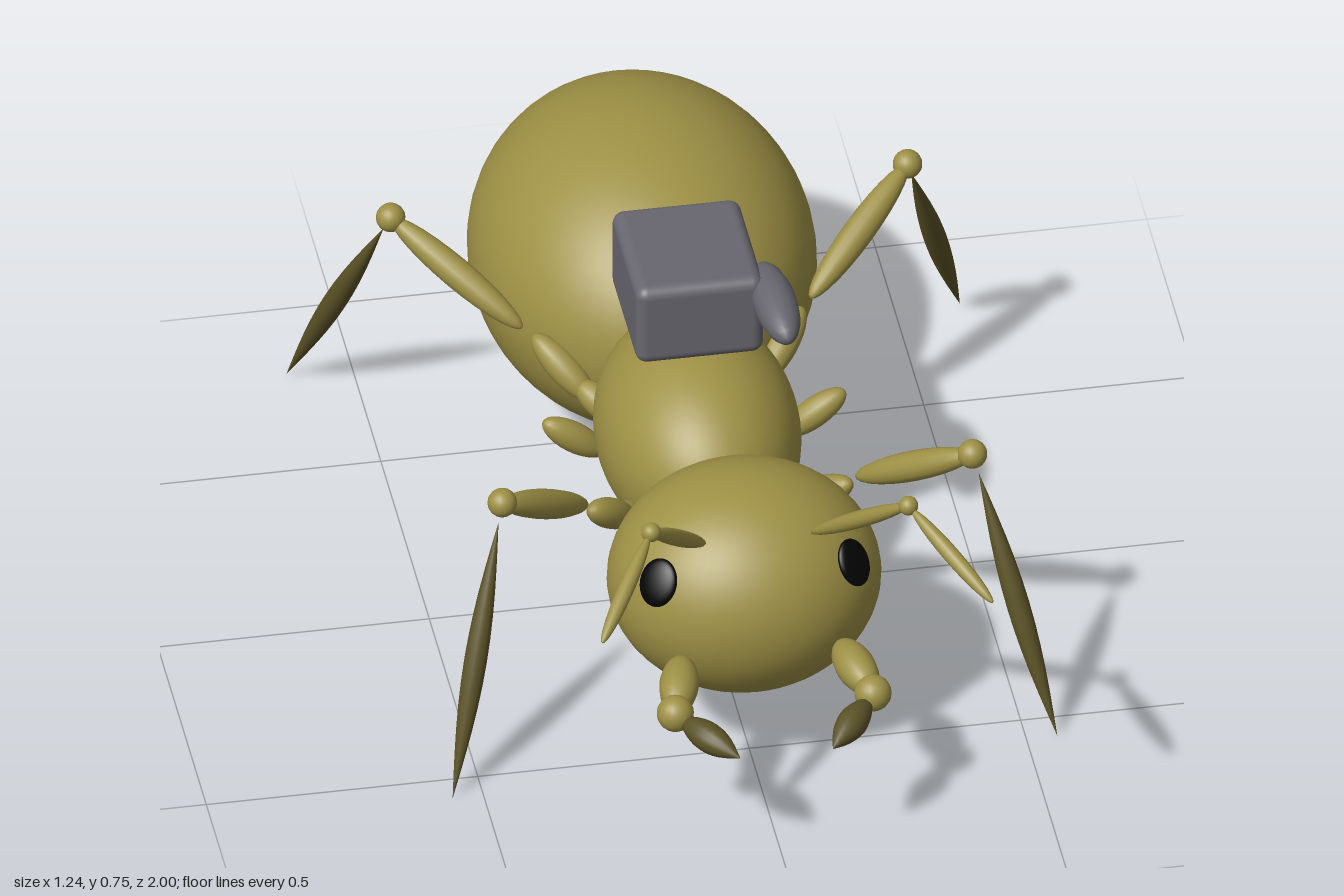
import * as THREE from 'three';
import { RoundedBoxGeometry } from 'three/addons/geometries/RoundedBoxGeometry.js';

export function createModel() {
  const model = new THREE.Group();
  model.name = 'ant';

  const mat = (name, color) => {
    const m = new THREE.MeshStandardMaterial({ color });
    m.name = name;
    return m;
  };
  const shell = mat('olive shell', 0x9d9045);
  const dark = mat('dark olive tips', 0x5a5226);
  const metal = mat('grey metal', 0x68676f);
  const black = mat('black eye', 0x040404);

  const bodyBall = new THREE.SphereGeometry(1, 48, 32);
  const limbBall = new THREE.SphereGeometry(1, 16, 14);

  // Sharp-ended profile for shins and mandible tips
  const pointed = [];
  for (let i = 0; i <= 12; i++) {
    const y = -1 + i / 6;
    pointed.push(new THREE.Vector2(Math.max(0, Math.cos(y * Math.PI / 2)), y));
  }
  const thorn = new THREE.LatheGeometry(pointed, 16);

  const add = (parent, name, geometry, material, pos) => {
    const mesh = new THREE.Mesh(geometry, material);
    mesh.name = name;
    mesh.position.set(...pos);
    parent.add(mesh);
    return mesh;
  };
  const ellipsoid = (parent, name, pos, radii, material = shell, geo = bodyBall) => {
    const mesh = add(parent, name, geo, material, pos);
    mesh.scale.set(...radii);
    return mesh;
  };
  const joint = (parent, name, pos, r) => ellipsoid(parent, name, pos, [r, r, r], shell, limbBall);

  // Long rounded shape stretched from point a to point b
  const spindle = (parent, name, a, b, r, material = shell, geo = limbBall) => {
    const p = new THREE.Vector3(...a), q = new THREE.Vector3(...b);
    const mid = p.clone().add(q).multiplyScalar(0.5);
    const mesh = ellipsoid(parent, name, mid.toArray(), [r, p.distanceTo(q) / 2, r], material, geo);
    mesh.quaternion.setFromUnitVectors(new THREE.Vector3(0, 1, 0), q.sub(p).normalize());
  };

  // Body
  ellipsoid(model, 'head', [0, 0.355, 0.447], [0.25, 0.211, 0.225]);
  ellipsoid(model, 'thorax', [0, 0.338, -0.036], [0.186, 0.193, 0.27]);
  ellipsoid(model, 'abdomen', [0, 0.335, -0.607], [0.315, 0.291, 0.393]);

  // Limbs, eyes and mouthparts on both sides
  for (const s of [1, -1]) {
    const side = s > 0 ? 'left' : 'right';
    const at = (x, y, z) => [s * x, y, z];
    const group = (name) => {
      const g = new THREE.Group();
      g.name = side + name;
      model.add(g);
      return g;
    };

    // Flat oval eye lying on the head
    const eye = ellipsoid(model, side + 'Eye', at(0.18, 0.445, 0.572), [0.039, 0.045, 0.014], black);
    eye.lookAt(s * (0.18 + 0.668), 0.445 + 0.473, 0.572 + 0.573);

    const antenna = group('Antenna');
    spindle(antenna, 'antennaBase', at(0.098, 0.535, 0.59), at(0.237, 0.735, 0.815), 0.016);
    joint(antenna, 'antennaJoint', at(0.237, 0.735, 0.815), 0.018);
    spindle(antenna, 'antennaTip', at(0.242, 0.731, 0.822), at(0.36, 0.633, 1.0), 0.015);

    const mandible = group('Mandible');
    spindle(mandible, 'mandibleBase', at(0.145, 0.305, 0.62), at(0.18, 0.288, 0.755), 0.036);
    joint(mandible, 'mandibleJoint', at(0.182, 0.285, 0.758), 0.034);
    spindle(mandible, 'mandibleTip', at(0.18, 0.28, 0.76), at(0.085, 0.263, 0.888), 0.028, dark, thorn);

    const front = group('FrontLeg');
    spindle(front, 'coxa', at(0.12, 0.25, 0.09), at(0.19, 0.305, 0.155), 0.028);
    spindle(front, 'hip', at(0.15, 0.272, 0.12), at(0.24, 0.36, 0.21), 0.029);
    spindle(front, 'thigh', at(0.248, 0.375, 0.212), at(0.433, 0.517, 0.378), 0.028);
    joint(front, 'knee', at(0.433, 0.519, 0.378), 0.027);
    spindle(front, 'shin', at(0.442, 0.485, 0.39), at(0.557, 0.003, 0.56), 0.021, dark, thorn);

    // Middle legs are short stubs
    spindle(model, side + 'MiddleLegStub', at(0.165, 0.285, -0.067), at(0.278, 0.367, -0.067), 0.028);

    const rear = group('RearLeg');
    spindle(rear, 'coxa', at(0.11, 0.25, -0.2), at(0.18, 0.305, -0.265), 0.028);
    spindle(rear, 'hip', at(0.155, 0.275, -0.245), at(0.248, 0.367, -0.338), 0.029);
    spindle(rear, 'thigh', at(0.265, 0.372, -0.355), at(0.476, 0.52, -0.532), 0.028);
    joint(rear, 'knee', at(0.476, 0.52, -0.533), 0.027);
    spindle(rear, 'shin', at(0.486, 0.485, -0.55), at(0.62, 0.003, -0.8), 0.021, dark, thorn);
  }

  // Back-mounted pack with side pod
  add(model, 'backPack', new RoundedBoxGeometry(0.236, 0.165, 0.272, 4, 0.022), metal, [-0.002, 0.608, -0.121]);
  spindle(model, 'sidePod', [0.127, 0.652, -0.085], [0.135, 0.649, 0.152], 0.04, metal);

  return model;
}
